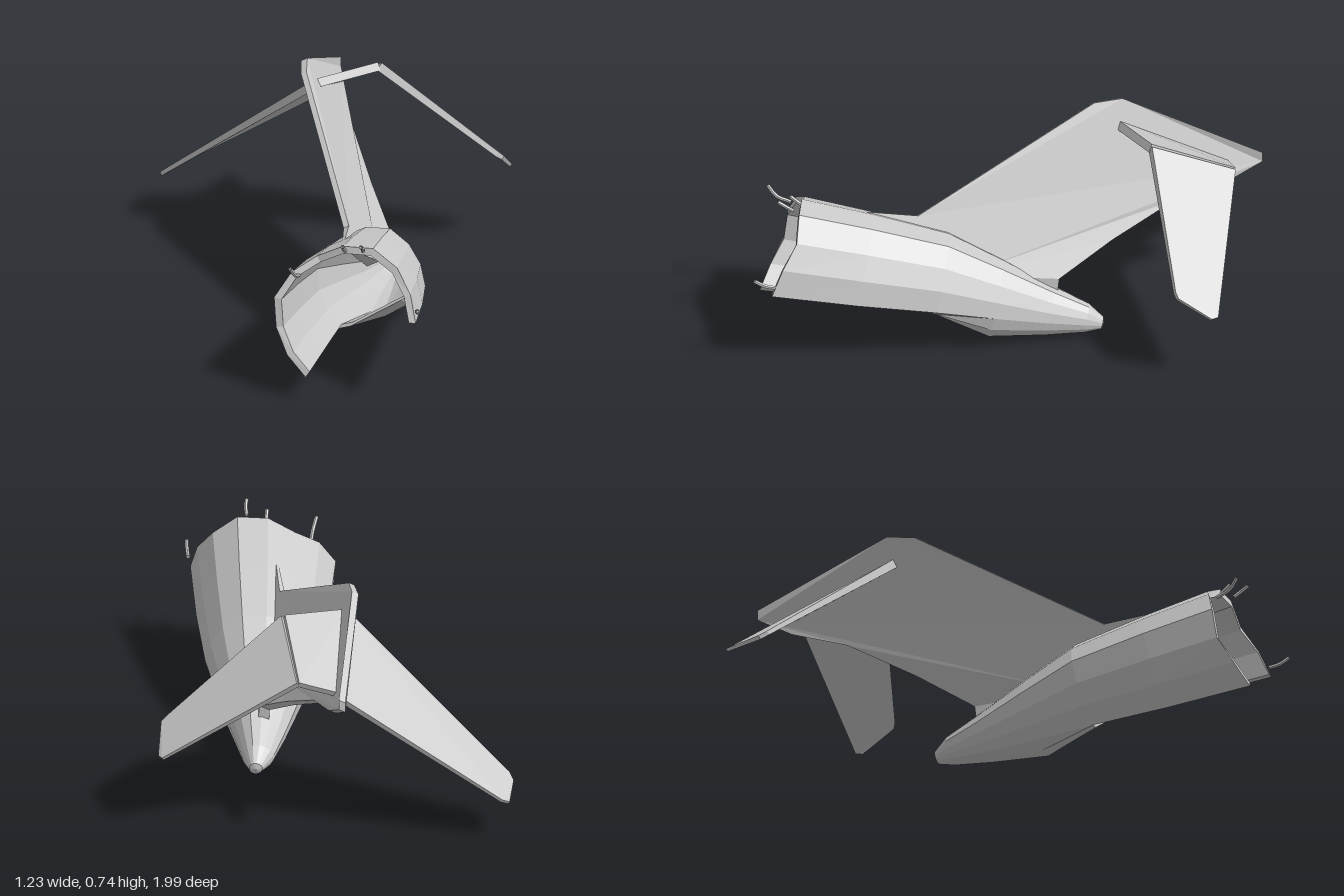
import * as THREE from 'three';

const V = (x, y, z) => new THREE.Vector3(x, y, z);
const material = new THREE.MeshStandardMaterial({ color: 0xcccccc, flatShading: true, side: THREE.DoubleSide });

// Tilted frame of the wreck: back along the hull, out to its left, up along the fin
const back = V(0.48, -0.21, -0.85).normalize();
const left = V(0.84, 0.48, 0.27).addScaledVector(back, -V(0.84, 0.48, 0.27).dot(back)).normalize();
const up = new THREE.Vector3().crossVectors(left, back);

function meshFrom(name, triangles) {
  const geometry = new THREE.BufferGeometry().setFromPoints(triangles);
  geometry.computeVertexNormals();
  const mesh = new THREE.Mesh(geometry, material);
  mesh.name = name;
  return mesh;
}

const quad = (out, a, b, c, d) => out.push(a, b, c, a, c, d);

// Flat plate around an outline; each corner is [x, y, z, thickness]
function plate(name, corners) {
  const pts = corners.map(c => V(c[0], c[1], c[2]));
  const normal = V(0, 0, 0);
  pts.forEach((p, i) => normal.add(p.clone().cross(pts[(i + 1) % pts.length])));
  normal.normalize();
  const toPlane = new THREE.Quaternion().setFromUnitVectors(normal, V(0, 0, 1));
  const flat = pts.map(p => p.clone().applyQuaternion(toPlane)).map(p => new THREE.Vector2(p.x, p.y));
  const top = pts.map((p, i) => p.clone().addScaledVector(normal, corners[i][3] / 2));
  const low = pts.map((p, i) => p.clone().addScaledVector(normal, -corners[i][3] / 2));
  const out = [];
  for (const [a, b, c] of THREE.ShapeUtils.triangulateShape(flat, [])) {
    out.push(top[a], top[b], top[c], low[c], low[b], low[a]);
  }
  pts.forEach((p, i) => {
    const j = (i + 1) % pts.length;
    quad(out, low[i], low[j], top[j], top[i]);
  });
  return meshFrom(name, out);
}

// Hull stations: centre, radius, depth of the belly as a share of the radius
const stations = [
  [-0.40, 0.27, 0.80, 0.24, 0.5],
  [-0.27, 0.225, 0.565, 0.22, 0.5],
  [-0.14, 0.18, 0.33, 0.19, 0.5],
  [-0.04, 0.13, 0.16, 0.14, 0.92],
  [0.05, 0.082, 0.0, 0.088, 0.95],
  [0.115, 0.055, -0.11, 0.052, 0.95],
  [0.148, 0.04, -0.155, 0.022, 1],
  [0.15, 0.038, -0.16, 0.002, 1],
];

function hullPoint(index, angle, scale) {
  const [x, y, z, r, belly] = stations[index];
  const s = Math.sin(angle), c = Math.cos(angle);
  const shoulder = s > 0 ? 1 + 0.1 * Math.sin(2 * angle) ** 2 : 1;
  const p = V(x, y, z)
    .addScaledVector(left, r * scale * shoulder * c)
    .addScaledVector(up, r * scale * shoulder * Math.max(s, -belly));
  // Slanted break at the open front
  if (index === 0) p.addScaledVector(back, 0.035 * s + 0.012 * Math.sin(5 * angle));
  return p;
}

// Thick skin between two angles, from one station to the tail
function hullSkin(name, first, fromDeg, toDeg, segments) {
  const out = [];
  const grid = scale => stations.map((_, i) => Array.from({ length: segments + 1 }, (_, j) =>
    hullPoint(i, THREE.MathUtils.degToRad(fromDeg + (toDeg - fromDeg) * j / segments), scale)));
  const outer = grid(1), inner = grid(0.9), last = stations.length - 1;
  for (let i = first; i < last; i++) {
    for (let j = 0; j < segments; j++) {
      quad(out, outer[i][j], outer[i + 1][j], outer[i + 1][j + 1], outer[i][j + 1]);
      quad(out, inner[i][j], inner[i][j + 1], inner[i + 1][j + 1], inner[i + 1][j]);
    }
    quad(out, outer[i][0], inner[i][0], inner[i + 1][0], outer[i + 1][0]);
    const k = segments;
    quad(out, outer[i][k], outer[i + 1][k], inner[i + 1][k], inner[i][k]);
  }
  for (let j = 0; j < segments; j++) {
    quad(out, outer[first][j], outer[first][j + 1], inner[first][j + 1], inner[first][j]);
  }
  return meshFrom(name, out);
}

export function createModel() {
  const model = new THREE.Group();
  model.name = 'brokenAircraftTail';

  // Hull: full upper skin, belly torn away at the front
  model.add(hullSkin('upperHull', 0, -28, 206, 10));
  model.add(hullSkin('lowerHull', 2, 206, 332, 6));

  // Fin with its dorsal fillet running forward along the hull
  model.add(plate('tailFin', [
    [-0.33, 0.45, 0.57, 0.005], [-0.235, 0.415, 0.35, 0.02],
    [-0.15, 0.72, -0.29, 0.02], [-0.115, 0.73, -0.38, 0.025],
    [0.155, 0.54, -0.775, 0.025], [0.155, 0.505, -0.775, 0.025],
    [0.13, 0.45, -0.66, 0.025], [0.085, 0.405, -0.475, 0.03],
    [0.06, 0.3, -0.24, 0.035], [0.05, 0.2, -0.04, 0.04],
    [0.05, 0.12, -0.03, 0.04], [-0.1, 0.22, 0.25, 0.045], [-0.26, 0.38, 0.5, 0.02],
  ]));

  // Right stabilizer, intact
  model.add(plate('rightStabilizer', [
    [-0.1, 0.64, -0.35, 0.03], [0.1, 0.49, -0.67, 0.02],
    [-0.35, 0.14, -0.985, 0.012], [-0.375, 0.13, -0.99, 0.012],
    [-0.445, 0.155, -0.89, 0.015], [-0.445, 0.175, -0.86, 0.015],
  ]));

  // Left stabilizer, bent down partway along
  const stabilizer = new THREE.Group();
  stabilizer.name = 'leftStabilizer';
  const bendFront = [0.145, 0.68, -0.345, 0.03], bendRear = [0.24, 0.56, -0.62, 0.02];
  stabilizer.add(plate('innerPanel', [[-0.09, 0.65, -0.345, 0.03], bendFront, bendRear, [0.11, 0.51, -0.66, 0.02]]));
  stabilizer.add(plate('outerPanel', [
    bendFront, [0.53, 0.345, -0.225, 0.018], [0.55, 0.33, -0.225, 0.016],
    [0.615, 0.255, -0.32, 0.012], [0.615, 0.255, -0.345, 0.012], bendRear,
  ]));
  model.add(stabilizer);

  // Loose cables curling out of the broken rim
  const cables = [
    [[-0.53, 0.41, 0.68], [-0.56, 0.43, 0.72], [-0.585, 0.465, 0.74]],
    [[-0.375, 0.49, 0.72], [-0.39, 0.51, 0.74], [-0.40, 0.525, 0.755]],
    [[-0.335, 0.51, 0.78], [-0.345, 0.53, 0.805], [-0.36, 0.545, 0.825]],
    [[-0.19, 0.325, 0.93], [-0.205, 0.335, 0.965], [-0.22, 0.355, 0.995]],
  ];
  for (const points of cables) {
    const curve = new THREE.CatmullRomCurve3(points.map(p => V(...p)));
    const cable = new THREE.Mesh(new THREE.TubeGeometry(curve, 6, 0.007, 6), material);
    cable.name = 'cable';
    model.add(cable);
  }
  return model;
}
